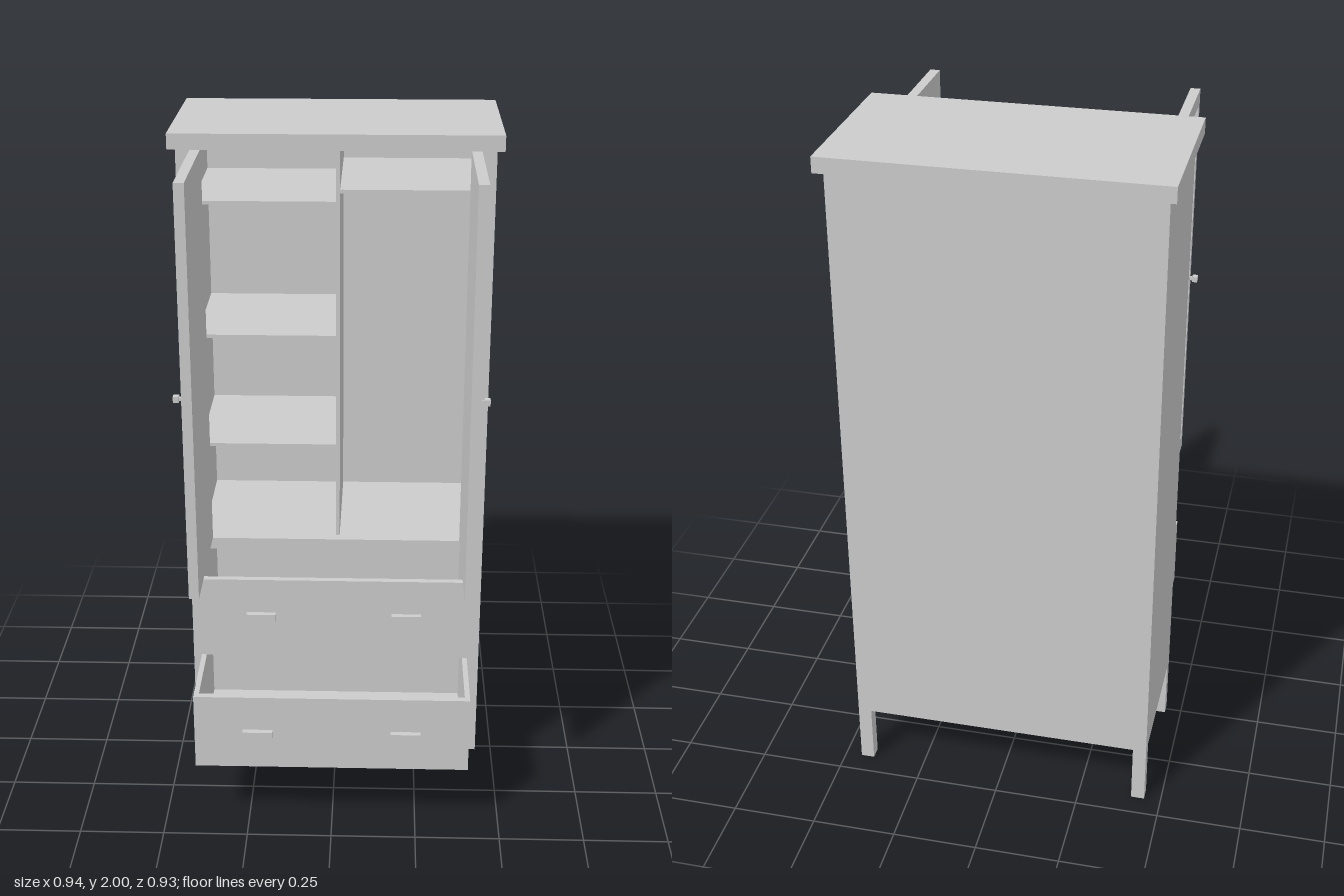
import * as THREE from 'three';

const grey = new THREE.MeshStandardMaterial({ color: 0xcccccc, flatShading: true });

// Box given by its low and high corners
function box(parent, name, [x0, x1], [y0, y1], [z0, z1]) {
  const mesh = new THREE.Mesh(new THREE.BoxGeometry(x1 - x0, y1 - y0, z1 - z0), grey);
  mesh.position.set((x0 + x1) / 2, (y0 + y1) / 2, (z0 + z1) / 2);
  mesh.name = name;
  parent.add(mesh);
  return mesh;
}

function group(parent, name) {
  const g = new THREE.Group();
  g.name = name;
  parent.add(g);
  return g;
}

// Span from a to b, mirrored when side is -1
const span = (side, a, b) => (side > 0 ? [a, b] : [-b, -a]);

const BACK = -0.435, FRONT = 0.02;

function addCarcass(root) {
  const g = group(root, 'carcass');
  box(g, 'topBoard', [-0.47, 0.47], [1.955, 2], [-0.467, 0.047]);
  box(g, 'backPanel', [-0.41, 0.41], [0.185, 1.955], [BACK, BACK + 0.015]);
  box(g, 'bottomPanel', [-0.41, 0.41], [0.185, 0.203], [BACK + 0.015, FRONT]);
  box(g, 'cabinetFloor', [-0.408, 0.408], [0.712, 0.748], [BACK + 0.015, FRONT]);
  box(g, 'drawerRail', [-0.408, 0.408], [0.441, 0.454], [FRONT - 0.03, FRONT]);
  for (const s of [-1, 1]) {
    box(g, 'sidePanel', span(s, 0.408, 0.45), [0.185, 1.955], [BACK, FRONT]);
    box(g, 'frontLeg', span(s, 0.41, 0.45), [0, 0.185], [FRONT - 0.038, FRONT]);
    box(g, 'backLeg', span(s, 0.41, 0.45), [0, 0.185], [BACK, BACK + 0.038]);
  }
}

function addShelves(root) {
  const g = group(root, 'interior');
  const depth = [BACK + 0.015, -0.012];
  box(g, 'divider', [0, 0.011], [0.748, 1.955], depth);
  for (const y of [1.04, 1.385, 1.786]) box(g, 'leftShelf', [-0.408, 0], [y, y + 0.01], depth);
  box(g, 'rightShelf', [0.011, 0.408], [1.82, 1.831], depth);
}

// Door swung open at a right angle: frame with an inset panel and a knob outside
function addDoor(root, s) {
  const g = group(root, s > 0 ? 'leftDoor' : 'rightDoor');
  const [z0, z1, y0, y1] = [FRONT, 0.425, 0.75, 1.953];
  const x = span(s, 0.378, 0.407);
  box(g, 'doorPanel', span(s, 0.378, 0.392), [0.79, 1.91], [0.042, 0.403]);
  box(g, 'hingeStile', x, [y0, y1], [z0, 0.042]);
  box(g, 'outerStile', x, [y0, y1], [0.403, z1]);
  box(g, 'bottomRail', x, [y0, 0.795], [0.042, 0.403]);
  box(g, 'topRail', x, [1.908, y1], [0.042, 0.403]);
  box(g, 'knobStem', span(s, 0.407, 0.416), [1.351, 1.36], [0.407, 0.417]);
  box(g, 'knob', span(s, 0.414, 0.43), [1.347, 1.364], [0.403, 0.422]);
}

// Open-topped drawer pulled forward, with two block handles
function addDrawer(root, name, w, [y0, y1], front, [h0, h1]) {
  const g = group(root, name);
  const t = 0.015, face = front - 0.02, back = Math.max(front - 0.43, BACK + 0.02);
  box(g, 'drawerFront', [-w, w], [y0, y1], [face, front]);
  box(g, 'drawerBack', [-w + t, w - t], [y0, y1], [back, back + t]);
  box(g, 'drawerBottom', [-w + t, w - t], [y0, y0 + 0.012], [back + t, face]);
  for (const s of [-1, 1]) {
    box(g, 'drawerSide', span(s, w - t, w), [y0, y1], [back, face]);
    box(g, 'drawerHandle', span(s, 0.173, 0.261), [h0, h1], [front, front + 0.017]);
  }
}

export function createModel() {
  const root = new THREE.Group();
  root.name = 'wardrobe';
  addCarcass(root);
  addShelves(root);
  for (const s of [-1, 1]) addDoor(root, s);
  addDrawer(root, 'upperDrawer', 0.405, [0.455, 0.71], 0.225, [0.563, 0.602]);
  addDrawer(root, 'lowerDrawer', 0.403, [0.205, 0.44], 0.448, [0.313, 0.332]);
  return root;
}
